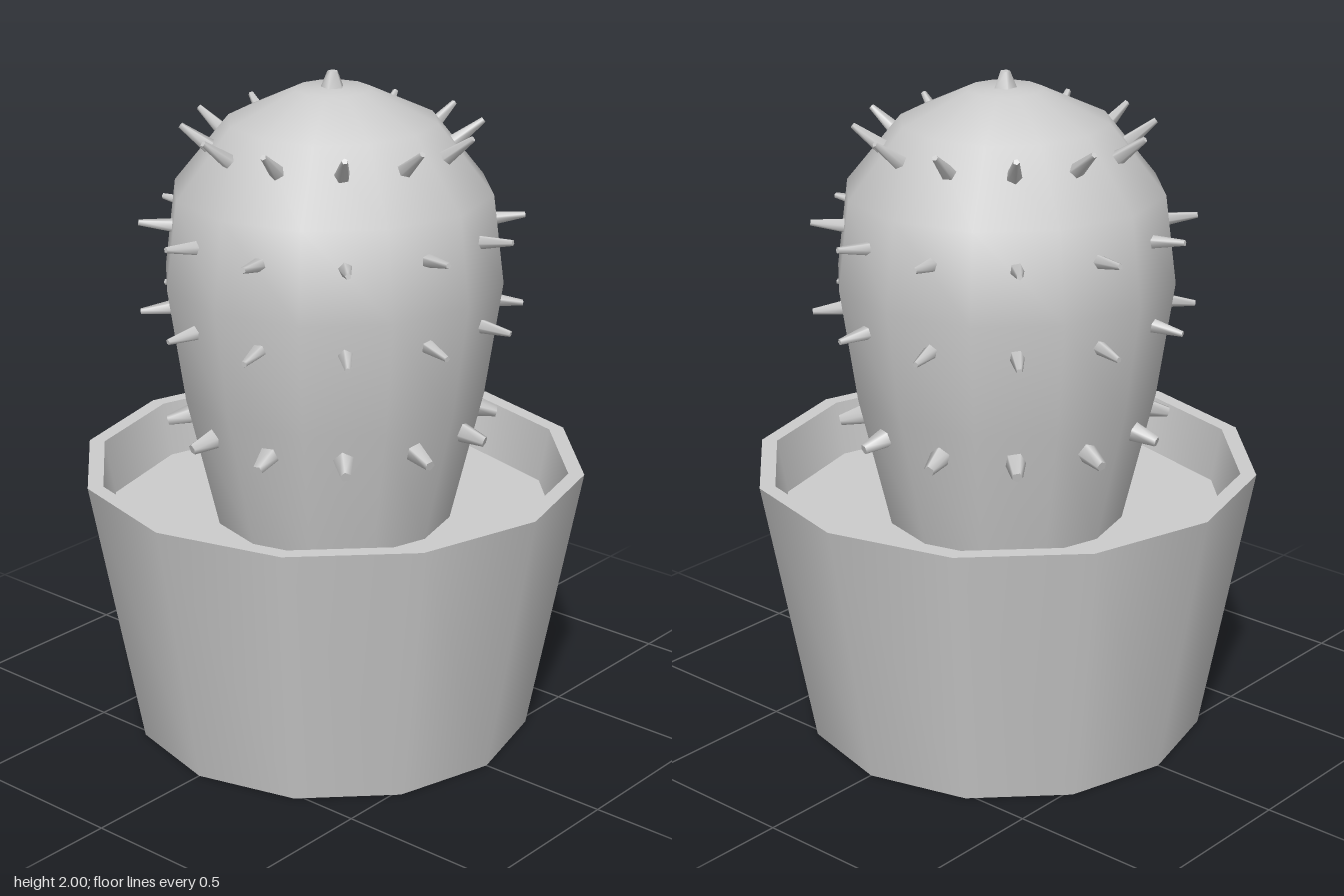
import * as THREE from 'three';

const SIDES = 12;

function createMaterial() {
  return new THREE.MeshStandardMaterial({ color: 0xcccccc });
}

// Twelve-sided lathe with a corner on each axis
function turned(name, profile, material) {
  const points = profile.map(([r, y]) => new THREE.Vector2(r, y));
  const mesh = new THREE.Mesh(new THREE.LatheGeometry(points, SIDES), material);
  mesh.name = name;
  return mesh;
}

// Tapered thorn running from one point to another
function thorn(from, to, baseRadius, tipRadius, material) {
  const dir = to.clone().sub(from);
  const length = dir.length();
  const geometry = new THREE.CylinderGeometry(tipRadius, baseRadius, length, 5);
  geometry.translate(0, length / 2, 0);
  const mesh = new THREE.Mesh(geometry, material);
  mesh.name = 'thorn';
  mesh.position.copy(from);
  mesh.quaternion.setFromUnitVectors(new THREE.Vector3(0, 1, 0), dir.normalize());
  return mesh;
}

export function createModel() {
  const model = new THREE.Group();
  model.name = 'pottedCactus';
  const material = createMaterial();

  // Pot: separate surfaces keep the rim and base edges sharp
  const pot = new THREE.Group();
  pot.name = 'pot';
  pot.add(
    turned('potBase', [[0, 0], [0.6, 0]], material),
    turned('potOuterWall', [[0.6, 0], [0.752, 0.825]], material),
    turned('potRim', [[0.752, 0.825], [0.705, 0.825]], material),
    turned('potInnerWall', [[0.705, 0.825], [0.675, 0.66]], material)
  );
  model.add(pot);
  model.add(turned('soil', [[0.675, 0.66], [0, 0.66]], material));

  // Cactus body: narrow at the soil, widest above the middle, domed top
  model.add(turned('cactusBody', [
    [0.355, 0.66], [0.45, 1.06], [0.5, 1.4], [0.467, 1.66],
    [0.305, 1.86], [0.11, 1.95], [0, 1.955]
  ], material));

  // Rings of thorns: base radius and height, tip radius and height, thickness
  const rings = [
    { base: [0.36, 0.99], tip: [0.488, 0.957], thick: 0.042, end: 0.016 },
    { base: [0.41, 1.315], tip: [0.56, 1.297], thick: 0.03, end: 0.009 },
    { base: [0.41, 1.55], tip: [0.56, 1.566], thick: 0.027, end: 0.009 },
    { base: [0.31, 1.755], tip: [0.433, 1.85], thick: 0.03, end: 0.009 }
  ];
  const thorns = new THREE.Group();
  thorns.name = 'thorns';
  for (const { base, tip, thick, end } of rings) {
    for (let i = 0; i < SIDES; i++) {
      const a = ((i + 0.5) / SIDES) * Math.PI * 2;
      const at = ([r, y]) => new THREE.Vector3(r * Math.sin(a), y, r * Math.cos(a));
      thorns.add(thorn(at(base), at(tip), thick, end, material));
    }
  }
  // Single thorn at the crown
  thorns.add(thorn(new THREE.Vector3(0, 1.94, 0), new THREE.Vector3(0, 2, 0), 0.04, 0.015, material));
  model.add(thorns);

  return model;
}
